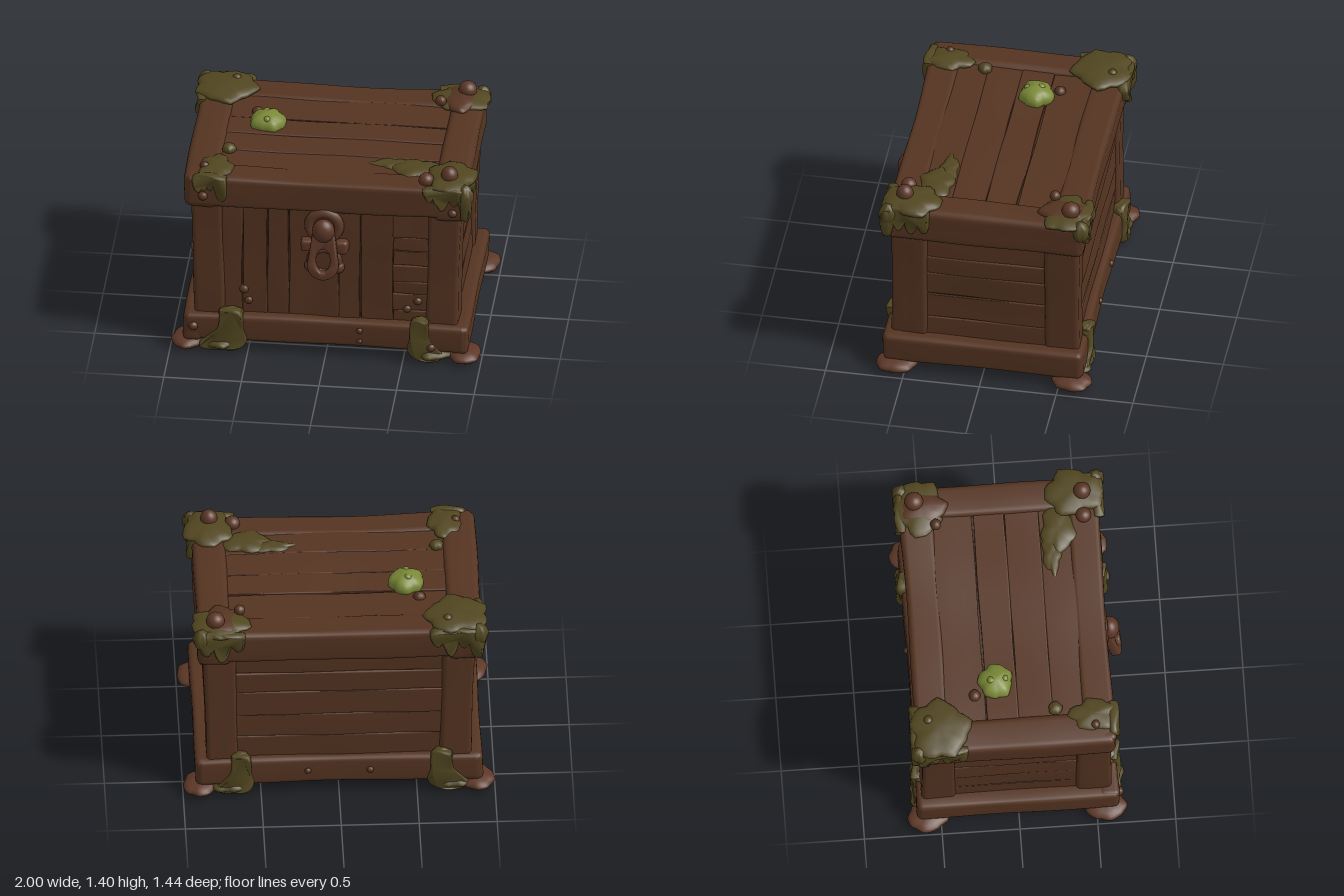
import * as THREE from 'three';
import { mergeVertices, toCreasedNormals } from 'three/addons/utils/BufferGeometryUtils.js';

const mat = (name, color) => {
  const m = new THREE.MeshStandardMaterial({ color });
  m.name = name;
  return m;
};

export function createModel() {
  const wood = mat('brown wood', 0x553421);
  const gap = mat('dark gap wood', 0x442a1c);
  const knob = mat('reddish brown', 0x5c3727);
  const moss = mat('olive moss', 0x514620);
  const slime = mat('bright green moss', 0x7a8836);

  const root = new THREE.Group();
  root.name = 'chest';

  const add = (name, geo, material, x = 0, y = 0, z = 0, parent = root) => {
    const m = new THREE.Mesh(geo, material);
    m.name = name;
    m.position.set(x, y, z);
    parent.add(m);
    return m;
  };

  const moveVertices = (geo, rule) => {
    const p = geo.attributes.position, v = new THREE.Vector3();
    for (let i = 0; i < p.count; i++) {
      rule(v.fromBufferAttribute(p, i));
      p.setXYZ(i, v.x, v.y, v.z);
    }
    return geo;
  };

  // Move every vertex by a rule, then smooth the normals across welded seams
  const reshape = (geo, rule) => {
    geo.deleteAttribute('uv');
    geo.deleteAttribute('normal');
    const g = moveVertices(mergeVertices(geo, 1e-5), rule);
    g.computeVertexNormals();
    return g;
  };

  // Worn timber: rounded box between two limits, with gentle hand-hewn waviness
  const beam = (name, X, Y, Z, r = 0.025, warp = null, material = wood) => {
    const lim = [X, Y, Z];
    const size = lim.map(([a, b]) => b - a), mid = lim.map(([a, b]) => (a + b) / 2);
    r = Math.min(r, ...size.map(s => s * 0.45));
    const seg = size.map(s => Math.max(6, Math.min(20, Math.round(s / 0.09) + 4)));
    const geo = new THREE.BoxGeometry(1, 1, 1, ...seg);
    const phase = mid[0] * 17 + mid[1] * 23 + mid[2] * 31;
    const wave = size.map(s => (s > 0.5 ? 7 : 16));
    add(name, reshape(geo, v => {
      const q = [v.x, v.y, v.z].map((t, k) => {
        const i = Math.round((t + 0.5) * seg[k]), n = seg[k], h = size[k] / 2;
        if (i <= 2) return -h + r * i / 2;
        if (i >= n - 2) return h - r * (n - i) / 2;
        return -h + r + (size[k] - 2 * r) * (i - 2) / (n - 4);
      });
      const inner = q.map((t, k) => THREE.MathUtils.clamp(t, r - size[k] / 2, size[k] / 2 - r));
      const d = new THREE.Vector3(...q.map((t, k) => t - inner[k]));
      d.setLength(r);
      const n = Math.sin(q[0] * wave[0] + phase) + Math.sin(q[1] * wave[1] + phase * 2) + Math.sin(q[2] * wave[2] + phase * 3);
      d.multiplyScalar(1 + 0.003 * n / r);
      v.set(mid[0] + inner[0] + d.x, mid[1] + inner[1] + d.y, mid[2] + inner[2] + d.z);
      if (warp) warp(v);
    }), material);
  };

  // Row of planks: cuts along one axis, limits for the others
  const planks = (name, axis, cuts, lim) => {
    for (let i = 0; i + 1 < cuts.length; i++) {
      const L = lim.map(a => [...a]);
      L[axis] = [cuts[i] + 0.001, cuts[i + 1] - 0.001];
      beam(name, ...L, 0.008);
    }
  };

  // Lumpy ellipsoid for moss, knobs and feet
  const blob = (name, material, [x, y, z], [rx, ry, rz], lump = 0, seed = 0, parent = root) =>
    add(name, reshape(new THREE.SphereGeometry(1, 28, 12), v => {
      const a = Math.atan2(v.z, v.x);
      const k = 1 + lump * (Math.sin(5 * a + seed) + 0.6 * Math.sin(9 * a + seed * 2) + 0.5 * Math.sin(3 * a + seed * 3)) * Math.hypot(v.x, v.z);
      v.set(v.x * rx * k, v.y * ry * (1 + lump * Math.sin(v.x * 6 + seed) * Math.cos(v.z * 5)), v.z * rz * k);
    }), material, x, y, z, parent);

  // Rounded moss patch on a vertical face; local +z points outward
  const patch = (name, pts, x, y, z, turn) => {
    const p = pts.map(([u, v]) => new THREE.Vector2(u, v));
    const s = new THREE.Shape();
    s.moveTo(p[0].x, p[0].y);
    s.splineThru([...p.slice(1), p[0]]);
    const g = new THREE.ExtrudeGeometry(s, { depth: 0.02, bevelThickness: 0.022, bevelSize: 0.014, bevelSegments: 3, curveSegments: 3 });
    moveVertices(g, v => { if (v.z > 0) v.z *= 0.85 + 0.3 * Math.sin(v.x * 26 + v.y * 20); });
    add(name, toCreasedNormals(g, 1), moss, x, y, z).rotation.y = turn;
  };

  // Hanging moss with rounded fingers of the given lengths
  const drips = (w, lengths, x, y, z, turn) => {
    const pts = [[w / 2 - 0.015, 0], [0, 0.012], [0.015 - w / 2, 0]];
    const d = w / lengths.length;
    lengths.forEach((l, i) => {
      const c = -w / 2 + d * (i + 0.5);
      if (i > 0) pts.push([c - d / 2, -0.065 - 0.015 * (i % 2)]);
      pts.push([c - d * 0.27, 0.03 - l], [c, -l], [c + d * 0.27, 0.03 - l]);
    });
    patch('mossDrips', pts, x, y, z, turn);
  };
  const FRONT = 0, RIGHT = Math.PI / 2, BACK = Math.PI, LEFT = -Math.PI / 2;

  // Body core behind the planks
  add('bodyCore', new THREE.BoxGeometry(1.62, 1.12, 1.12), gap, 0, 0.69, -0.01);

  // Front: upright planks, with a stack of short boards on one side
  planks('frontPlank', 0, [-0.67, -0.54, -0.38, -0.24, 0.08, 0.22, 0.43], [[0, 0], [0.22, 1.1], [0.5, 0.575]]);
  planks('frontShortBoard', 1, [0.22, 0.35, 0.47, 0.56, 0.68, 0.79, 0.89, 1.1], [[0.43, 0.66], [0, 0], [0.5, 0.575]]);
  // Sides and back: level planks
  for (const s of [-1, 1])
    planks('sidePlank', 1, [0.22, 0.4, 0.58, 0.75, 0.88, 1.1], [s > 0 ? [0.75, 0.83] : [-0.83, -0.75], [0, 0], [-0.45, 0.42]]);
  planks('backPlank', 1, [0.22, 0.43, 0.6, 0.78, 0.93, 1.1], [[-0.7, 0.7], [0, 0], [-0.595, -0.5]]);
  // Underside
  planks('bottomPlank', 2, [-0.58, -0.33, -0.1, 0.14, 0.36, 0.56], [[-0.83, 0.83], [0.11, 0.17], [0, 0]]);

  // Corner posts lean slightly outward
  const lean = v => { v.x *= 1 + 0.035 * (v.y - 0.7); };
  for (const s of [-1, 1]) {
    const X = s > 0 ? [0.65, 0.86] : [-0.86, -0.66];
    beam('frontPost', X, [0.2, 1.12], [0.37, 0.6], 0.03, lean);
    beam('backPost', X, [0.2, 1.12], [-0.62, -0.4], 0.03, lean);
  }

  // Base frame
  const pinch = v => { v.z *= 1 - 0.03 * (1 - v.x * v.x); };
  beam('baseFront', [-0.91, 0.91], [0.08, 0.275], [0.52, 0.655], 0.035, pinch);
  beam('baseBack', [-0.91, 0.91], [0.08, 0.275], [-0.665, -0.53], 0.035, pinch);
  beam('baseRight', [0.79, 0.92], [0.075, 0.27], [-0.65, 0.645], 0.035);
  beam('baseLeft', [-0.92, -0.79], [0.075, 0.27], [-0.65, 0.645], 0.035);

  // Lid frame sags in the middle
  const sag = v => { pinch(v); v.y += 0.02 * v.x * v.x - 0.005; };
  beam('lidFront', [-0.9, 0.9], [1.06, 1.28], [0.43, 0.635], 0.035, sag);
  beam('lidBack', [-0.9, 0.9], [1.06, 1.28], [-0.665, -0.45], 0.035, sag);
  beam('lidRight', [0.69, 0.91], [1.045, 1.29], [-0.655, 0.625], 0.045);
  beam('lidLeft', [-0.92, -0.7], [1.045, 1.29], [-0.655, 0.625], 0.045);
  planks('lidPlank', 2, [-0.46, -0.19, 0.01, 0.23, 0.45], [[-0.72, 0.72], [1.15, 1.268], [0, 0]]);

  // Flat stone-like feet
  for (const sx of [-1, 1]) for (const sz of [-1, 1]) {
    const foot = blob('foot', knob, [sx * 0.885, 0.05, sz < 0 ? -0.58 : 0.555], [0.11, 0.044, 0.135], 0.04, sx + sz * 2);
    foot.rotation.y = sx * sz * 0.25;
  }

  // Moss caps on the lid corners
  blob('mossCap', moss, [-0.76, 1.3, -0.5], [0.2, 0.045, 0.19], 0.08, 1);
  blob('mossCap', moss, [-0.72, 1.285, 0.49], [0.11, 0.035, 0.15], 0.1, 2);
  blob('mossCap', moss, [0.8, 1.295, 0.47], [0.155, 0.045, 0.19], 0.08, 3);
  blob('mossCap', moss, [0.76, 1.29, -0.53], [0.19, 0.04, 0.15], 0.08, 4);
  blob('mossTrail', moss, [0.56, 1.27, 0.35], [0.16, 0.035, 0.11], 0.09, 5);
  blob('mossTrail', moss, [0.4, 1.268, 0.3], [0.14, 0.025, 0.06], 0.12, 6);
  blob('mossTuft', moss, [-0.66, 1.29, 0.25], [0.045, 0.035, 0.045], 0.05, 7);
  // Moss running down the lid
  drips(0.22, [0.09, 0.08, 0.16], -0.745, 1.285, 0.61, FRONT);
  drips(0.31, [0.07, 0.13, 0.1, 0.19], 0.79, 1.285, 0.61, FRONT);
  drips(0.32, [0.2, 0.13, 0.16, 0.14], 0.895, 1.285, 0.5, RIGHT);
  drips(0.3, [0.13, 0.18, 0.1], 0.75, 1.285, -0.645, BACK);
  drips(0.34, [0.1, 0.17, 0.12, 0.2], -0.76, 1.285, -0.645, BACK);
  drips(0.33, [0.22, 0.12, 0.17, 0.1], -0.9, 1.285, -0.49, LEFT);
  // Rounded moss lumps over the lid corners
  for (const [x, z] of [[0.9, 0.61], [-0.9, -0.64], [0.88, -0.64]])
    blob('mossLump', moss, [x, 1.25, z], [0.055, 0.075, 0.055], 0.06, x * 7);

  // Moss patches on the base, flaring toward the corners and spreading underneath
  const flare = [[0.05, 0.3], [-0.05, 0.3], [-0.06, 0.18], [-0.08, 0.1], [-0.04, 0.05], [0.07, 0.03], [0.16, 0.05], [0.13, 0.1], [0.06, 0.18]];
  for (const [x, back, w] of [[-0.61, false, 1.15], [0.61, false, 0.85], [0.63, true, 0.9], [-0.66, true, 1]]) {
    const s = Math.sign(x) * (back ? -1 : 1);
    patch('mossFlare', flare.map(([u, v]) => [u * s * w, v]), x, 0, back ? -0.64 : 0.625, back ? BACK : FRONT);
    blob('mossUnder', moss, [x + Math.sign(x) * 0.07, 0.06, back ? -0.59 : 0.58], [0.13, 0.04, 0.1], 0.08, x * 9);
    blob('mossLedge', moss, [x, 0.28, back ? -0.625 : 0.61], [w * 0.07, 0.045, 0.05], 0.08, x * 5);
  }

  // Bright moss clump on the lid
  blob('brightClump', slime, [-0.45, 1.285, -0.12], [0.115, 0.075, 0.11], 0.06, 2);
  blob('brightPimple', slime, [-0.46, 1.345, -0.15], [0.025, 0.02, 0.025]);
  blob('brightPimple', slime, [-0.45, 1.335, -0.06], [0.022, 0.02, 0.022]);

  // Round knobs on the lid corners, then small pegs and knots
  blob('lidPatch', wood, [0.755, 1.295, -0.51], [0.11, 0.045, 0.16], 0.05, 1);
  blob('knob', knob, [0.79, 1.345, -0.56], [0.06, 0.055, 0.06]);
  blob('knob', knob, [0.79, 1.345, 0.52], [0.055, 0.058, 0.055]);
  blob('knob', knob, [0.64, 1.3, 0.52], [0.05, 0.045, 0.05]);
  blob('mossTuft', moss, [-0.7, 1.33, -0.57], [0.03, 0.025, 0.03]);
  const pegs = [
    [-0.79, 1.3, 0.5, 0.028], [-0.53, 1.265, -0.26, 0.038], [0.63, 1.325, -0.43, 0.035],
    [-0.79, 1.15, 0.625, 0.03], [0.82, 1.12, 0.625, 0.028], [-0.85, 0.19, 0.645, 0.03], [0.68, 0.12, 0.635, 0.03],
    [0.22, 0.21, 0.625, 0.022], [0.22, 0.13, 0.625, 0.018], [-0.53, 0.44, 0.565, 0.03], [-0.5, 0.36, 0.565, 0.028],
    [0.52, 0.36, 0.565, 0.028], [0.59, 0.42, 0.565, 0.028], [-0.2, 0.18, -0.645, 0.022], [0.2, 0.18, -0.645, 0.02],
  ];
  pegs.forEach(([x, y, z, r], i) => blob('peg', wood, [x, y, z], [r * 1.05, r, r], 0.03, i));

  // Clasp: round boss, ball and tilted hanging loop
  const clasp = new THREE.Group();
  clasp.name = 'clasp';
  clasp.position.set(-0.01, 0, 0);
  root.add(clasp);
  add('claspBoss', new THREE.TorusGeometry(0.095, 0.034, 12, 28), knob, 0, 0.96, 0.595, clasp);
  add('claspPlate', new THREE.CylinderGeometry(0.1, 0.1, 0.05, 24), knob, 0, 0.96, 0.59, clasp).rotation.x = Math.PI / 2;
  blob('claspBall', knob, [0, 0.95, 0.645], [0.072, 0.08, 0.06], 0, 0, clasp);
  const loop = new THREE.Shape();
  loop.moveTo(0.06, 0.13);
  loop.lineTo(-0.06, 0.13);
  loop.lineTo(-0.09, -0.08);
  loop.absarc(0, -0.08, 0.09, Math.PI, Math.PI * 2, false);
  loop.closePath();
  const hole = new THREE.Path();
  hole.absellipse(0, -0.05, 0.058, 0.09, 0, Math.PI * 2, true);
  loop.holes.push(hole);
  const loopGeo = new THREE.ExtrudeGeometry(loop, { depth: 0.03, bevelThickness: 0.014, bevelSize: 0.012, bevelSegments: 3, curveSegments: 16 });
  add('claspLoop', toCreasedNormals(loopGeo, 0.9), knob, 0, 0.79, 0.64, clasp).rotation.x = -0.22;
  for (const s of [-1, 1]) {
    const cx = s * 0.11 - 0.01;
    beam('claspBracket', [cx - 0.04, cx + 0.04], [0.77, 0.855], [0.55, 0.63], 0.02, null, knob);
    blob('claspEar', knob, [s * 0.09, 0.65, 0.58], [0.04, 0.045, 0.04], 0, 0, clasp);
  }
  add('claspStaple', new THREE.TorusGeometry(0.09, 0.026, 10, 24), knob, 0, 0.69, 0.585, clasp);

  return root;
}
